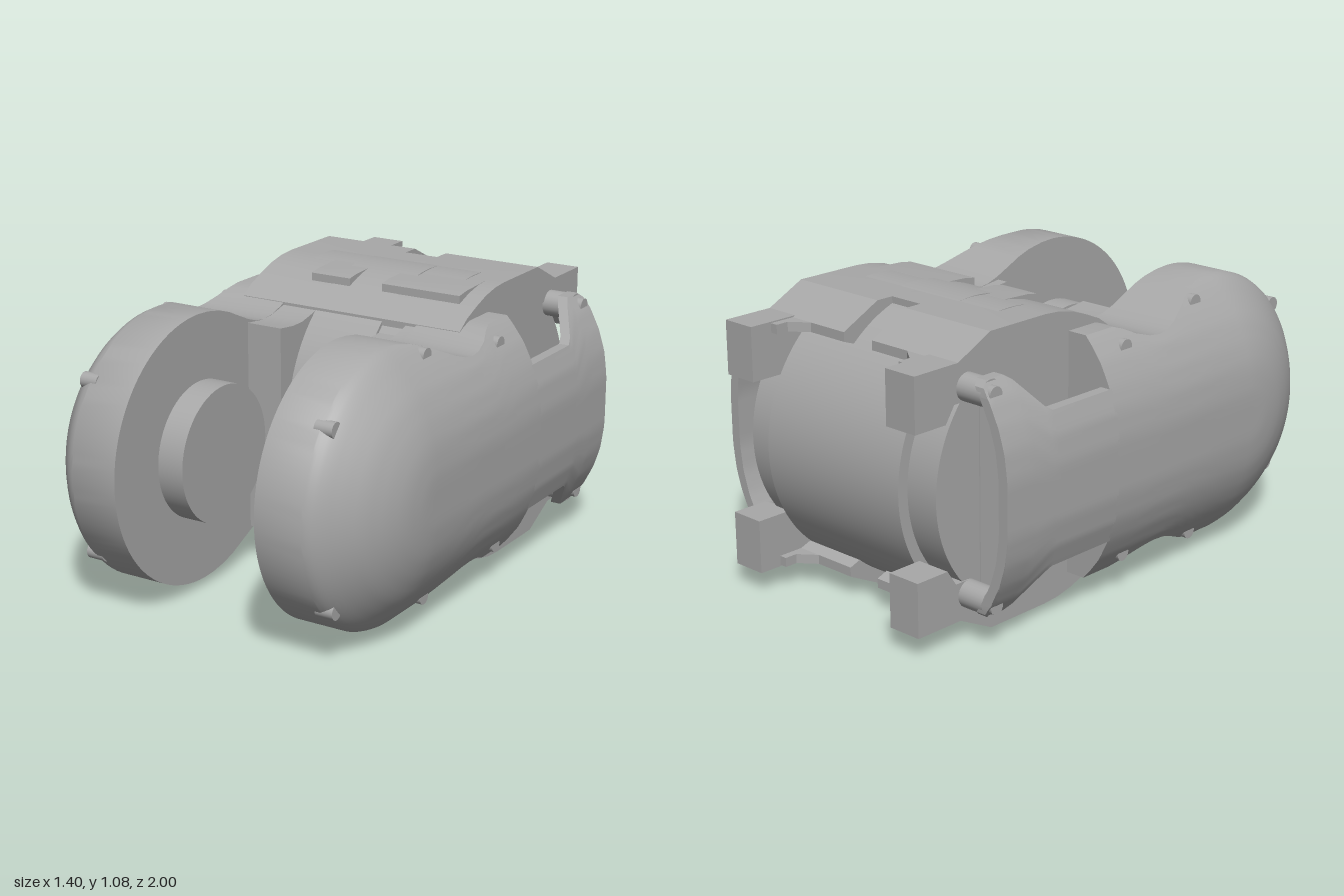
import * as THREE from 'three';
import { toCreasedNormals } from 'three/addons/utils/BufferGeometryUtils.js';

const MID = 0.54;    // height of the horizontal symmetry plane
const LOBE_Z = 0.49; // axis of the front lobes
const LOBE_R = 0.505;

// Dome of the side shells: x for a distance from the spine
const DOME = [[0, 0.7], [0.1, 0.7], [0.2, 0.686], [0.28, 0.66], [0.36, 0.62],
  [0.42, 0.575], [0.47, 0.53], [0.495, 0.5], [0.51, 0.46]];
function dome(d) {
  for (let i = 1; i < DOME.length; i++) {
    const [d0, x0] = DOME[i - 1], [d1, x1] = DOME[i];
    if (d <= d1) return x0 + (x1 - x0) * (d - d0) / (d1 - d0);
  }
  return 0.46;
}

// Domed shell from columns { s: spine z, dz, dy }; innerX gives the inside face
function shellGeometry(columns, innerX) {
  const n = 41, pos = [], idx = [];
  for (const { s, dz, dy } of columns) {
    const r = Math.hypot(dz, dy);
    for (let k = 0; k < 2 * n; k++) {
      const outer = k < n, j = outer ? k : 2 * n - 1 - k;
      const t = Math.sin((j / (n - 1) * 2 - 1) * Math.PI / 2);
      const d = r * Math.abs(t);
      pos.push(outer ? dome(d) : innerX(d), MID + t * dy, s + Math.abs(t) * dz);
    }
  }
  const m = 2 * n;
  for (let i = 0; i < columns.length - 1; i++) {
    for (let k = 0; k < m; k++) {
      const a = i * m + k, b = i * m + (k + 1) % m;
      idx.push(a, b, a + m, b, b + m, a + m);
    }
  }
  // rear end face
  for (let k = 0; k < n - 1; k++) {
    const i0 = m - 1 - k, i1 = m - 2 - k;
    idx.push(k, i0, k + 1, k + 1, i0, i1);
  }
  const g = new THREE.BufferGeometry();
  g.setAttribute('position', new THREE.Float32BufferAttribute(pos, 3));
  g.setIndex(idx);
  return toCreasedNormals(g, 0.5);
}

// Mirrored copy across x = 0 or across the mid plane, with corners reordered
function mirrored(geo, axis) {
  const g = geo.index ? geo.toNonIndexed() : geo.clone();
  if (axis === 'x') g.scale(-1, 1, 1);
  else g.scale(1, -1, 1).translate(0, 2 * MID, 0);
  for (const attr of Object.values(g.attributes)) {
    for (let i = 0; i < attr.count; i += 3) {
      for (let c = 0; c < attr.itemSize; c++) {
        const p = (i + 1) * attr.itemSize + c, q = (i + 2) * attr.itemSize + c;
        [attr.array[p], attr.array[q]] = [attr.array[q], attr.array[p]];
      }
    }
  }
  return g;
}

// Side outline of [z, y] points, extruded from x0 to x1
function slab(points, x0, x1) {
  const shape = new THREE.Shape(points.map(([z, y]) => new THREE.Vector2(-z, y)));
  const g = new THREE.ExtrudeGeometry(shape, { depth: x1 - x0, bevelEnabled: false });
  g.rotateY(Math.PI / 2).translate(x0, 0, 0);
  return toCreasedNormals(g, 0.35);
}

// Closed outline from [z, half height] points, symmetric about the mid plane
const symmetric = (list) => [
  ...list.map(([z, h]) => [z, MID + h]),
  ...list.slice().reverse().map(([z, h]) => [z, MID - h]),
];

// Cylinder lying along x
function rod(r, x0, x1, y, z, sides = 64) {
  const g = new THREE.CylinderGeometry(r, r, x1 - x0, sides);
  return g.rotateZ(-Math.PI / 2).translate((x0 + x1) / 2, y, z);
}

export function createModel() {
  const model = new THREE.Group();
  model.name = 'jointHousing';
  const grey = new THREE.MeshStandardMaterial({ color: 0xa8a8a8 });
  grey.name = 'machine grey';

  const add = (name, geo) => {
    const mesh = new THREE.Mesh(geo, grey);
    mesh.name = name;
    model.add(mesh);
  };
  const addPair = (name, geo) => {
    add(name + 'Left', geo);
    add(name + 'Right', mirrored(geo, 'x'));
  };
  const addFour = (name, geo) => {
    addPair(name + 'Upper', geo);
    addPair(name + 'Lower', mirrored(geo, 'y'));
  };

  // Side shells: waisted flank that ends in a round lobe
  const flank = [[-0.26, 0.45], [-0.12, 0.45], [-0.08, 0.437], [-0.03, 0.413], [0.03, 0.395],
    [0.08, 0.39], [0.13, 0.396], [0.18, 0.413], [0.24, 0.44], [0.3, 0.468], [0.36, 0.488], [0.43, 0.501]];
  const columns = flank.map(([s, h]) => ({ s, dz: 0, dy: h }));
  for (let i = 0; i <= 24; i++) {
    const a = (1 - i / 24) * Math.PI / 2;
    columns.push({ s: LOBE_Z, dz: LOBE_R * Math.cos(a), dy: LOBE_R * Math.sin(a) });
  }
  addPair('sideShell', shellGeometry(columns, () => 0.29));

  // Thin rear plates with tabs, standing off from the barrel
  const plate = [[-0.81, 0.37], [-0.805, 0.4], [-0.78, 0.42], [-0.7, 0.42], [-0.67, 0.4],
    [-0.58, 0.3], [-0.55, 0.28], [-0.3, 0.28], [-0.25, 0.28]];
  addPair('rearPlate', shellGeometry(
    plate.map(([s, h]) => ({ s, dz: 0, dy: h })), (d) => dome(d) - 0.04));
  addFour('tabPost', rod(0.05, 0.44, 0.58, 0.91, -0.76, 24));

  // Screw heads set in the shells
  for (const [z, y] of [[0.85, 0.86], [0.33, 0.985], [-0.11, 0.925], [-0.77, 0.915]]) {
    const d = Math.hypot(Math.max(z - LOBE_Z, 0), y - MID);
    addFour('screwHead', rod(0.029, 0.45, dome(d) + 0.004, y, z, 20));
  }

  // Pivot stubs inside the lobes
  addPair('pivotStub', rod(0.257, 0.185, 0.3, MID, LOBE_Z));

  // Central barrel with stepped ends
  add('barrel', rod(0.538, -0.33, 0.33, MID, -0.41, 96));
  add('barrelNose', rod(0.54, -0.145, 0.145, MID, -0.395, 96));
  addPair('barrelRim', rod(0.495, 0.32, 0.465, MID, -0.41, 96));

  // Webs closing the fork beside the barrel
  const web = [[-0.3, 0.43], [-0.1, 0.43], [-0.03, 0.408], [0.04, 0.392], [0.1, 0.39], [0.185, 0.4]];
  const lowWeb = [[-0.3, 0.4], [0.0, 0.375], [0.185, 0.37]];
  add('webRight', slab(symmetric(web), -0.3, -0.145));
  add('webLeftOuter', slab(symmetric(web), 0.245, 0.3));
  add('webLeftInner', slab(symmetric(lowWeb), 0.145, 0.245));

  // Cover around the barrel, notched at the rear centre
  const ramp = [[-0.05, 0.36], [-0.05, 0.425], [-0.1, 0.46], [-0.17, 0.49], [-0.24, 0.515],
    [-0.31, 0.53], [-0.38, 0.535]];
  const rear = [[-0.65, 0.535], [-0.8, 0.46], [-0.81, 0.455], [-0.81, 0.42], [-0.7, 0.38]];
  addPair('cover', slab(symmetric([...ramp, ...rear]), 0.07, 0.47));
  add('coverCentre', slab(symmetric([...ramp, [-0.58, 0.535], [-0.58, 0.4]]), -0.07, 0.07));

  // Raised stops on the front of the cover
  const stop = [[-0.17, 1.0], [-0.17, 1.06], [-0.22, 1.068], [-0.38, 1.075], [-0.38, 1.0]];
  add('stopRight', slab(stop, -0.24, -0.07));
  add('stopLeft', slab(stop, 0.07, 0.4));

  // Rear mounting lugs with thin gussets
  const lug = [[-1, 0.8], [-1, 1.0], [-0.76, 1.0], [-0.76, 0.86], [-0.82, 0.86], [-0.86, 0.8]];
  addFour('mountLug', slab(lug, 0.335, 0.47));
  const gussetShape = new THREE.Shape([[0.35, 0.91], [0.305, 0.91], [0.305, 0.86], [0.24, 0.81],
    [0.24, 0.78], [0.35, 0.78]].map(([x, z]) => new THREE.Vector2(x, z)));
  const gusset = new THREE.ExtrudeGeometry(gussetShape, { depth: 0.035, bevelEnabled: false });
  gusset.rotateX(-Math.PI / 2).translate(0, 0.96, 0);
  addFour('lugGusset', gusset);

  return model;
}
